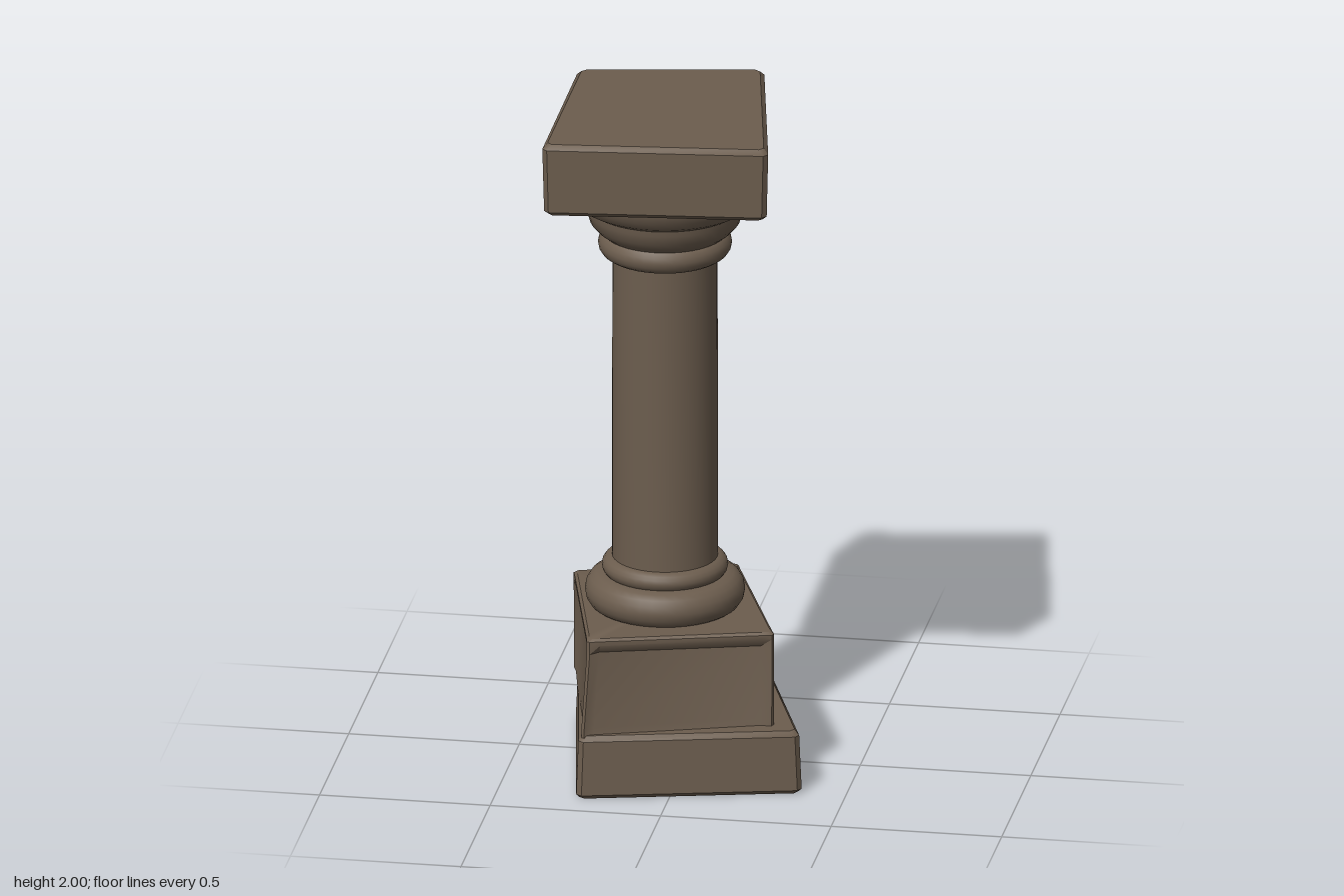
import * as THREE from 'three';
import { toCreasedNormals } from 'three/addons/utils/BufferGeometryUtils.js';

const stone = new THREE.MeshStandardMaterial({ color: 0x6c5d4e });
stone.name = 'brownStone';

// Cuts each corner of a quad (back left, front left, front right, back right)
// and dishes the sides inward by `dish`
function outline(quad, cut, dish = 0) {
  const pts = [];
  quad.forEach(([x, z], i) => {
    const [nx, nz] = quad[(i + 1) % 4];
    const len = Math.hypot(nx - x, nz - z);
    const dx = (nx - x) / len, dz = (nz - z) / len;
    const at = (d, inset) => pts.push([x + dx * d - dz * inset, z + dz * d + dx * inset]);
    at(cut, 0);
    if (dish) {
      at(cut + 0.03, -dish);
      at(len - cut - 0.03, -dish);
    }
    at(len - cut, 0);
  });
  return pts;
}

// Moves an outline towards its middle by about `d`
function shrink(pts, d) {
  const cx = pts.reduce((s, p) => s + p[0], 0) / pts.length;
  const cz = pts.reduce((s, p) => s + p[1], 0) / pts.length;
  return pts.map(([x, z]) => {
    const k = 1 - d / Math.max(Math.abs(x - cx), Math.abs(z - cz));
    return [cx + (x - cx) * k, cz + (z - cz) * k];
  });
}

// Closed solid through outlines stacked from bottom to top
function loft(name, levels) {
  const pos = [], idx = [], n = levels[0].pts.length;
  levels.forEach(({ y, pts }) => pts.forEach(([x, z]) => pos.push(x, y, z)));
  for (let l = 0; l < levels.length - 1; l++) {
    for (let i = 0; i < n; i++) {
      const j = (i + 1) % n, a = l * n + i, b = l * n + j;
      idx.push(a, b, b + n, a, b + n, a + n);
    }
  }
  // end caps
  [0, levels.length - 1].forEach((l) => {
    const { y, pts } = levels[l], c = pos.length / 3;
    pos.push(pts.reduce((s, p) => s + p[0], 0) / n, y, pts.reduce((s, p) => s + p[1], 0) / n);
    for (let i = 0; i < n; i++) {
      const a = l * n + i, b = l * n + ((i + 1) % n);
      if (l === 0) idx.push(c, b, a); else idx.push(c, a, b);
    }
  });
  const g = new THREE.BufferGeometry();
  g.setAttribute('position', new THREE.Float32BufferAttribute(pos, 3));
  g.setIndex(idx);
  const mesh = new THREE.Mesh(toCreasedNormals(g, 0.6), stone);
  mesh.name = name;
  return mesh;
}

// Softened slab between two heights; `taper` draws in the lower or upper edge
function slab(name, quad, y0, y1, lowTaper, highTaper) {
  const pts = outline(quad, 0.015);
  return loft(name, [
    { y: y0, pts: shrink(pts, lowTaper + 0.012) },
    { y: y0 + 0.012, pts: shrink(pts, lowTaper) },
    { y: y1 - 0.015, pts: shrink(pts, highTaper) },
    { y: y1, pts: shrink(pts, highTaper + 0.015) },
  ]);
}

// Turned part of the column
function turned(name, profile) {
  const g = new THREE.LatheGeometry(profile.map(([r, y]) => new THREE.Vector2(r, y)), 40);
  const mesh = new THREE.Mesh(toCreasedNormals(g, 0.8), stone);
  mesh.name = name;
  mesh.position.set(-0.07, 0, 0.015);
  return mesh;
}

// Rounded ring profile bulging from r0 to r1
function bulge(r0, r1, y0, y1) {
  const pts = [[0, y0]];
  for (let i = 0; i <= 8; i++) {
    const a = (i / 8) * Math.PI;
    pts.push([r0 + (r1 - r0) * Math.sin(a), (y0 + y1) / 2 - ((y1 - y0) / 2) * Math.cos(a)]);
  }
  return [...pts, [0, y1]];
}

export function createModel() {
  const model = new THREE.Group();
  model.name = 'column';

  // Base, skewed from the top slab
  model.add(slab('basePlinth', [[-0.375, -0.24], [-0.262, 0.415], [0.375, 0.26], [0.14, -0.418]], 0, 0.19, 0, 0.008));

  // Die block with dished faces, flared at the front corner
  const dieTop = [[-0.375, -0.2], [-0.24, 0.36], [0.285, 0.21], [0.085, -0.335]];
  const dieLow = [[-0.375, -0.21], [-0.25, 0.395], [0.285, 0.215], [0.085, -0.335]];
  const top = outline(dieTop, 0.008, 0.001);
  model.add(loft('dieBlock', [
    { y: 0.17, pts: outline(dieLow, 0.008, 0.004) },
    { y: 0.21, pts: outline(dieLow, 0.008, 0.012) },
    { y: 0.43, pts: outline(dieTop, 0.008, 0.018) },
    { y: 0.455, pts: top },
    { y: 0.468, pts: top },
    { y: 0.475, pts: shrink(top, 0.01) },
  ]));

  // Base rings, shaft and neck ring
  model.add(turned('lowerBaseRing', bulge(0.18, 0.232, 0.465, 0.575)));
  model.add(turned('upperBaseRing', bulge(0.15, 0.183, 0.565, 0.625)));
  model.add(turned('shaft', [[0.153, 0.58], [0.153, 1.0], [0.152, 1.6]]));
  model.add(turned('neckRing', bulge(0.155, 0.194, 1.553, 1.632)));

  // Stepped, rounded cups under the top slab
  model.add(turned('lowerCup', [[0, 1.62], [0.175, 1.62], [0.2, 1.64], [0.217, 1.66],
    [0.226, 1.69], [0.228, 1.708], [0.215, 1.713], [0, 1.713]]));
  model.add(turned('upperCup', [[0, 1.705], [0.225, 1.705], [0.255, 1.722], [0.272, 1.745],
    [0.282, 1.775], [0.282, 1.79], [0, 1.79]]));

  // Top slab
  model.add(slab('topSlab', [[-0.375, -0.275], [-0.372, 0.367], [0.282, 0.303], [0.157, -0.36]], 1.78, 2, 0.005, 0));
  return model;
}
